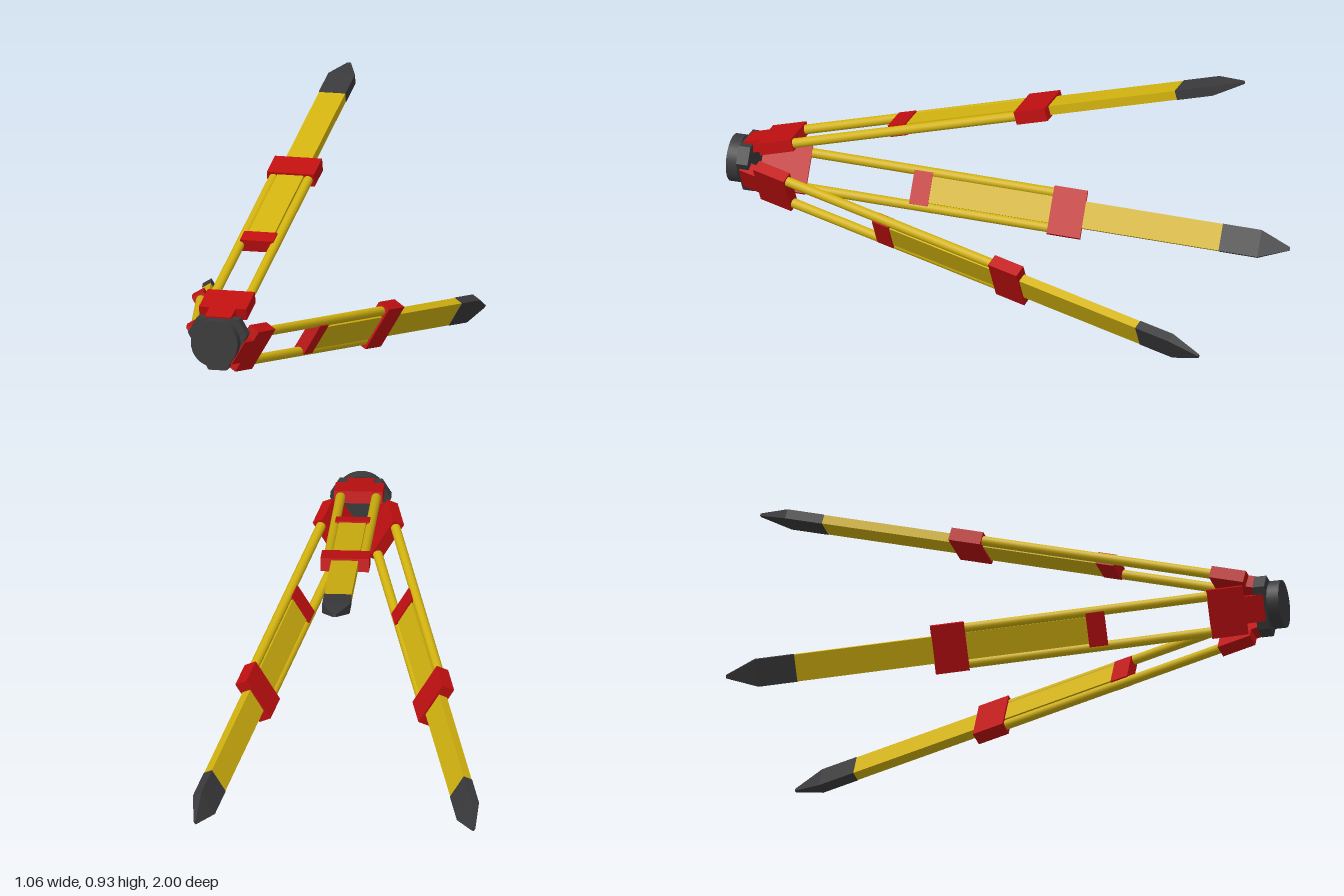
import * as THREE from 'three';

const yellow = new THREE.MeshStandardMaterial({ color: 0xd2b20f });
yellow.name = 'yellow';
const red = new THREE.MeshStandardMaterial({ color: 0xc00f10 });
red.name = 'red';
const charcoal = new THREE.MeshStandardMaterial({ color: 0x3a3a3c });
charcoal.name = 'charcoal';

const AXIS_Y = 0.325; // height of the tripod's long axis
const SPREAD = 0.2655; // angle of each leg from that axis

function add(parent, name, geometry, material, x = 0, y = 0, z = 0) {
  const mesh = new THREE.Mesh(geometry, material);
  mesh.name = name;
  mesh.position.set(x, y, z);
  parent.add(mesh);
  return mesh;
}

// Box spanning s0..s1 along the leg, which runs down -z
function legBox(leg, name, material, width, thickness, s0, s1) {
  return add(leg, name, new THREE.BoxGeometry(width, thickness, s1 - s0), material, 0, 0, -(s0 + s1) / 2);
}

// Spiked foot: straight sleeve, then a taper to a blunt point
function footGeometry(width, thickness, s0, s1, s2) {
  const geo = new THREE.BoxGeometry(width, thickness, 2, 1, 1, 2);
  const p = geo.attributes.position;
  for (let i = 0; i < p.count; i++) {
    const z = p.getZ(i);
    if (z < -0.5) {
      p.setX(i, p.getX(i) * 0.12);
      p.setY(i, p.getY(i) * 0.25);
    }
    p.setZ(i, z > 0.5 ? -s0 : z < -0.5 ? -s2 : -s1);
  }
  const flat = geo.toNonIndexed();
  flat.computeVertexNormals();
  return flat;
}

function createLeg() {
  const leg = new THREE.Group();
  leg.name = 'leg';

  // Hinge at the head
  legBox(leg, 'hingeBlock', red, 0.18, 0.046, 0.03, 0.165);
  legBox(leg, 'hingeTongue', red, 0.1, 0.046, -0.04, 0.03);

  // Pair of upper rods
  for (const side of [-1, 1]) {
    const rod = new THREE.CylinderGeometry(0.018, 0.018, 0.93, 20).rotateX(Math.PI / 2);
    add(leg, 'upperRod', rod, yellow, side * 0.066, 0, -0.615);
  }

  // Sliding lower plank with its guide and clamp
  legBox(leg, 'lowerPlank', yellow, 0.1, 0.035, 0.6, 1.71);
  legBox(leg, 'slideGuide', red, 0.127, 0.046, 0.55, 0.62);
  legBox(leg, 'clampCollar', red, 0.18, 0.05, 1.07, 1.195);
  add(leg, 'foot', footGeometry(0.102, 0.037, 1.708, 1.853, 1.967), charcoal);

  leg.position.set(0, 0.078, 0.9);
  leg.rotation.x = SPREAD;
  return leg;
}

export function createModel() {
  const model = new THREE.Group();
  model.name = 'tripod';

  // Hub: triangle with cut corners, its long sides facing the legs
  const corner = 0.111, half = 0.034;
  const outline = [];
  for (let i = 0; i < 3; i++) {
    const a = Math.PI / 6 + (i * 2 * Math.PI) / 3;
    for (const t of [-half, half]) {
      outline.push(new THREE.Vector2(
        corner * Math.cos(a) - t * Math.sin(a),
        corner * Math.sin(a) + t * Math.cos(a)));
    }
  }
  const hub = new THREE.ExtrudeGeometry(new THREE.Shape(outline), { depth: 0.045, bevelEnabled: false });
  add(model, 'hub', hub, charcoal, 0, AXIS_Y, 0.907);

  // Round mounting plate on a slightly narrower neck
  const disc = (r, depth) => new THREE.CylinderGeometry(r, r, depth, 32).rotateX(Math.PI / 2);
  add(model, 'neck', disc(0.08, 0.02), charcoal, 0, AXIS_Y, 0.953);
  add(model, 'mountingPlate', disc(0.089, 0.043), charcoal, 0, AXIS_Y, 0.9785);

  // Three legs around the axis
  for (let i = 0; i < 3; i++) {
    const pivot = new THREE.Group();
    pivot.name = ['topLeg', 'rightLeg', 'leftLeg'][i];
    pivot.position.y = AXIS_Y;
    pivot.rotation.z = (i * 2 * Math.PI) / 3;
    pivot.add(createLeg());
    model.add(pivot);
  }
  return model;
}
